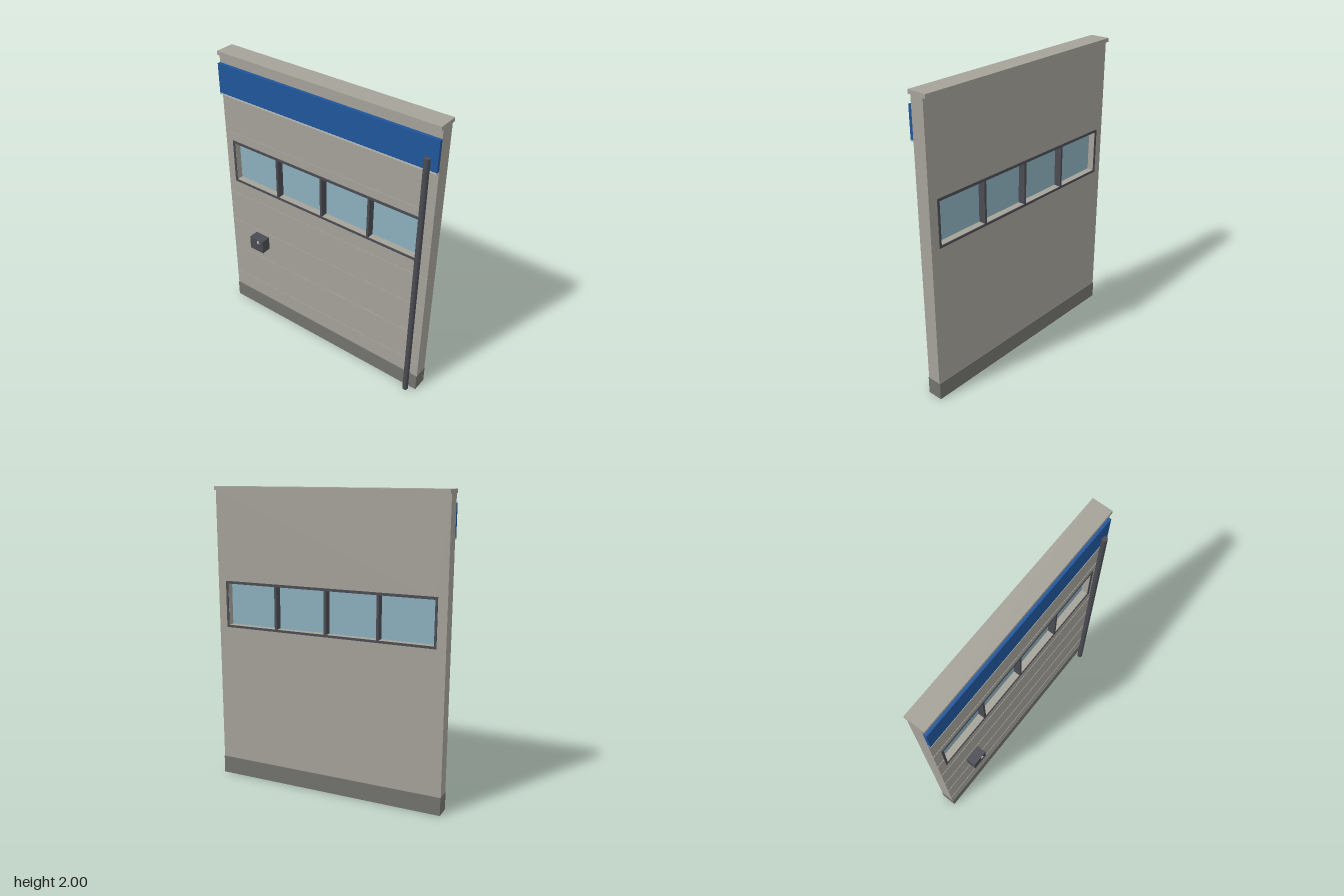
import * as THREE from 'three';

const mat = (name, color) => Object.assign(new THREE.MeshStandardMaterial({ color }), { name });

export function createModel() {
  const wallMat = mat('wall concrete', 0xa5a299);
  const baseMat = mat('plinth grey', 0x72736e);
  const blueMat = mat('fascia blue', 0x20569b);
  const darkMat = mat('dark metal', 0x4a4c53);
  const glassMat = mat('window glass', 0x8cb0bd);
  const lightMat = mat('light trim', 0xb9b9b9);

  const model = new THREE.Group();
  model.name = 'wallPanel';

  const add = (name, geometry, material, parent = model) => {
    const mesh = new THREE.Mesh(geometry, material);
    mesh.name = name;
    parent.add(mesh);
    return mesh;
  };
  // Box given by its minimum and maximum on each axis
  const box = (name, material, [x0, x1], [y0, y1], [z0, z1], parent) => {
    const mesh = add(name, new THREE.BoxGeometry(x1 - x0, y1 - y0, z1 - z0), material, parent);
    mesh.position.set((x0 + x1) / 2, (y0 + y1) / 2, (z0 + z1) / 2);
    return mesh;
  };

  // Wall slab with the window opening
  const back = -0.075, front = 0.02;
  const slab = new THREE.Shape([[-0.8, 0.12], [0.8, 0.12], [0.8, 1.975], [-0.8, 1.975]]
    .map(([x, y]) => new THREE.Vector2(x, y)));
  slab.holes.push(new THREE.Path([[-0.724, 1.081], [-0.724, 1.365], [0.724, 1.365], [0.724, 1.081]]
    .map(([x, y]) => new THREE.Vector2(x, y))));
  const slabGeometry = new THREE.ExtrudeGeometry(slab, { depth: front - back, bevelEnabled: false });
  slabGeometry.translate(0, 0, back);
  add('wall', slabGeometry, wallMat);

  // Plinth, coping, fascia and its drip trim
  box('plinth', baseMat, [-0.8, 0.8], [0, 0.12], [-0.08, 0.025]);
  box('coping', wallMat, [-0.8, 0.8], [1.975, 2], [-0.095, 0.04]);
  box('fascia', blueMat, [-0.8, 0.8], [1.72, 1.92], [front, 0.042]);
  box('fasciaTrim', lightMat, [-0.8, 0.8], [1.71, 1.72], [front, 0.044]);

  // Raised panel seams, interrupted by the window
  for (const y of [0.24, 0.48, 0.72, 0.96, 1.2, 1.44]) {
    const runs = y === 1.2 ? [[-0.8, -0.74], [0.74, 0.8]] : [[-0.8, 0.8]];
    for (const run of runs) box('seam', wallMat, run, [y - 0.002, y + 0.002], [front, 0.023]);
  }

  // Window band: frame, mullions and panes
  const win = new THREE.Group();
  win.name = 'window';
  model.add(win);
  const depth = [-0.08, 0.025];
  box('frameTop', darkMat, [-0.74, 0.74], [1.363, 1.38], depth, win);
  box('frameBottom', darkMat, [-0.74, 0.74], [1.065, 1.08], depth, win);
  for (const s of [-1, 1]) {
    const xs = s < 0 ? [-0.74, -0.725] : [0.725, 0.74];
    box('frameSide', darkMat, xs, [1.08, 1.363], depth, win);
  }
  for (const x of [-0.36, 0, 0.36]) {
    box('mullion', darkMat, [x - 0.008, x + 0.008], [1.08, 1.363], depth, win);
  }
  const edges = [-0.725, -0.36, 0, 0.36, 0.725];
  for (let i = 0; i < 4; i++) {
    box('pane', glassMat, [edges[i], edges[i + 1]], [1.08, 1.364], [-0.031, -0.024], win);
  }

  // Downpipe
  const pipe = add('downpipe', new THREE.CylinderGeometry(0.019, 0.019, 1.8, 10), darkMat);
  pipe.position.set(0.74, 0.9, 0.055);

  // Utility box with latch
  box('utilityBox', darkMat, [-0.58, -0.465], [0.595, 0.692], [front, 0.089]);
  box('latch', lightMat, [-0.512, -0.496], [0.663, 0.683], [0.089, 0.095]);

  return model;
}
